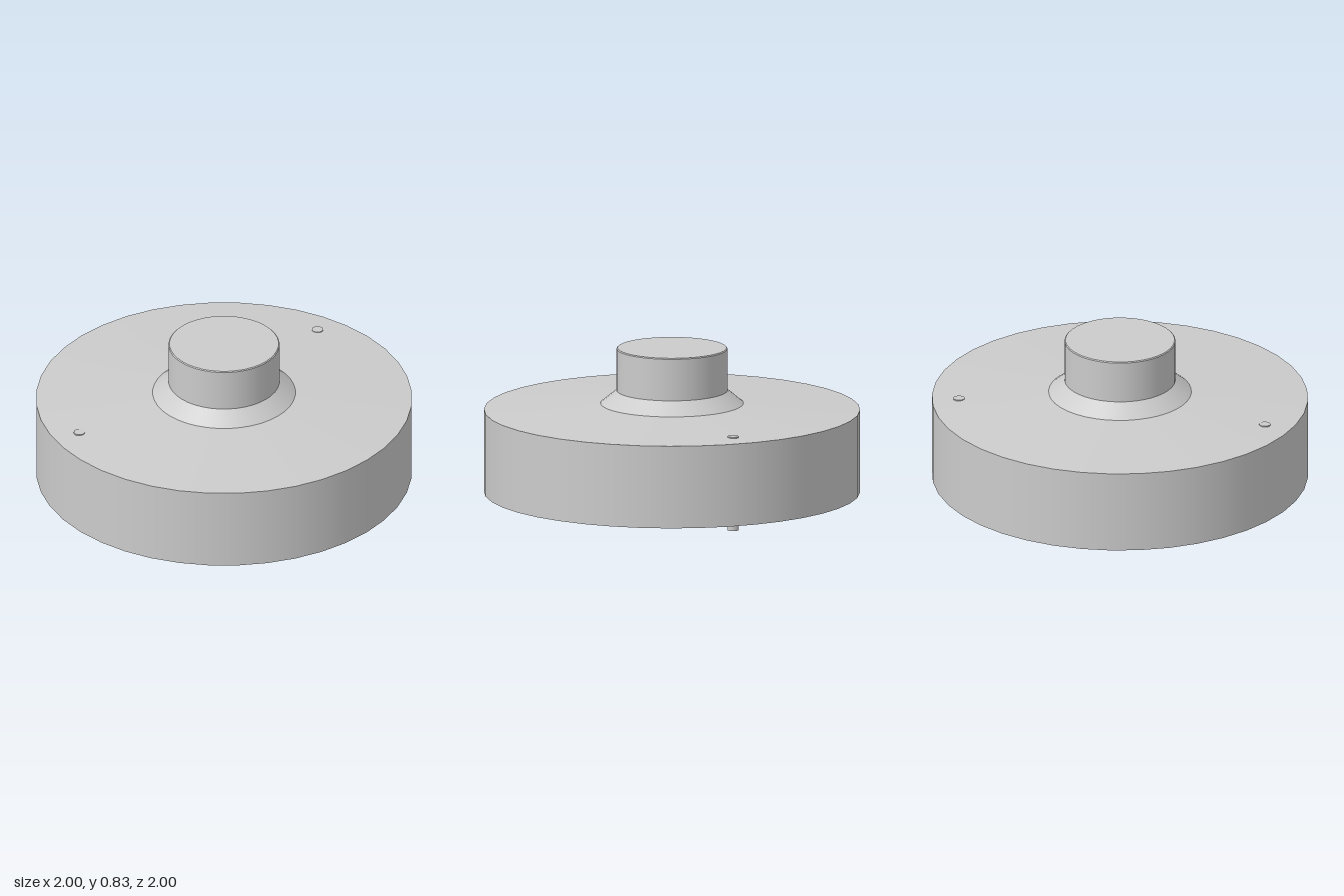
import * as THREE from 'three';

const material = new THREE.MeshStandardMaterial({ color: 0xcccccc, side: THREE.DoubleSide });

function addMesh(parent, name, geometry) {
  const mesh = new THREE.Mesh(geometry, material);
  mesh.name = name;
  parent.add(mesh);
  return mesh;
}

// One ring of the thin shell, from (r0, y0) up to (r1, y1), with sharp ends
function band(r0, y0, r1, y1, sides) {
  return new THREE.LatheGeometry([new THREE.Vector2(r0, y0), new THREE.Vector2(r1, y1)], sides);
}

export function createModel() {
  const model = new THREE.Group();
  model.name = 'cover';

  // Hollow shell, open underneath
  const shell = new THREE.Group();
  shell.name = 'shell';
  model.add(shell);
  addMesh(shell, 'outerWall', band(1, 0.05, 1, 0.495, 40));
  addMesh(shell, 'slopedTop', band(1, 0.495, 0.38, 0.53, 40));
  addMesh(shell, 'collar', band(0.38, 0.53, 0.295, 0.6, 40));
  addMesh(shell, 'neck', band(0.295, 0.6, 0.295, 0.825, 40));
  addMesh(shell, 'neckBevel', band(0.295, 0.825, 0.29, 0.83, 40));
  addMesh(shell, 'neckCap', band(0.29, 0.83, 0, 0.83, 40));

  // Curved rib hanging from the inside of the top, towards the back
  const half = 0.707;
  const mid = Math.PI / 2;
  const ribShape = new THREE.Shape();
  ribShape.absarc(0, 0, 0.745, mid - half, mid + half, false);
  ribShape.absarc(0, 0, 0.705, mid + half, mid - half, true);
  const rib = new THREE.ExtrudeGeometry(ribShape, { depth: 0.452, bevelEnabled: false, curveSegments: 16 });
  rib.rotateX(-Math.PI / 2);
  addMesh(model, 'innerRib', rib).position.y = 0.05;

  // Two pairs of mounting pins; the outer pair just breaks through the top
  for (const side of [-1, 1]) {
    for (const [name, x, z] of [['outerPin', 0.83, -0.21], ['innerPin', 0.57, -0.39]]) {
      const pin = addMesh(model, name, new THREE.CylinderGeometry(0.03, 0.03, 0.508, 20));
      pin.position.set(side * x, 0.254, z);
    }
  }
  return model;
}
